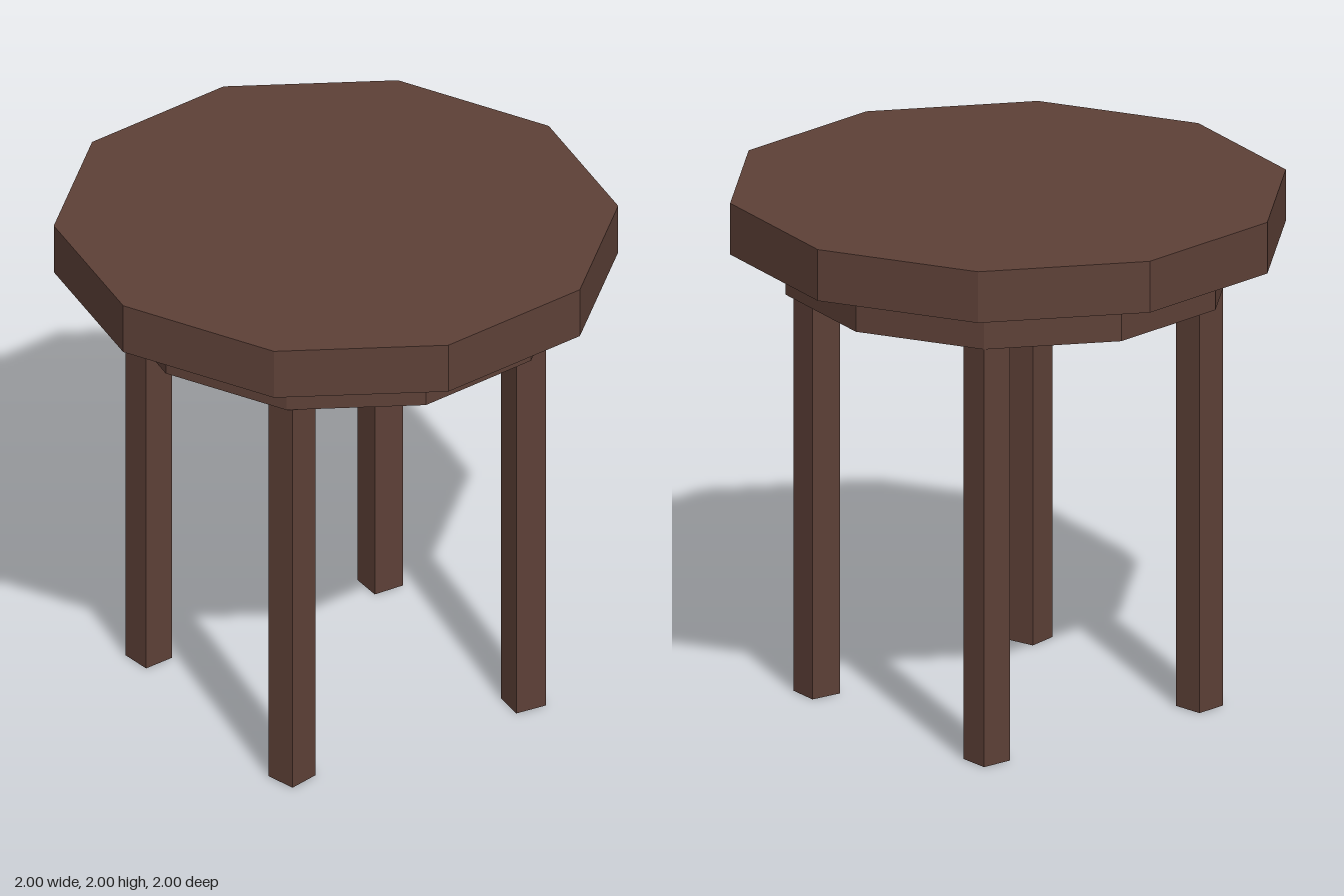
import * as THREE from 'three';

const SIDES = 10;
// widens a decagon so its flat sides reach as far in x as its corners do in z
const STRETCH = 1 / Math.cos(Math.PI / SIDES);

export function createModel() {
  const table = new THREE.Group();
  table.name = 'roundTable';
  const wood = new THREE.MeshStandardMaterial({ color: 0x5d4037, flatShading: true });
  wood.name = 'dark brown wood';

  function add(name, geometry, y) {
    const mesh = new THREE.Mesh(geometry, wood);
    mesh.name = name;
    mesh.position.y = y;
    table.add(mesh);
    return mesh;
  }

  // thick ten-sided top
  const top = new THREE.CylinderGeometry(1, 1, 0.2, SIDES);
  top.scale(STRETCH, 1, 1);
  add('tabletop', top, 1.9);

  // hollow ten-sided ring under the top
  const outer = 0.8, inner = 0.645, height = 0.17;
  const section = [[outer, 0], [outer, height], [inner, height], [inner, 0], [outer, 0]]
    .map(([r, y]) => new THREE.Vector2(r, y));
  const ring = new THREE.LatheGeometry(section, SIDES);
  ring.scale(STRETCH, 1, 1);
  add('apron', ring, 1.63);

  // four square legs set cornerwise, each turned by a slightly different angle
  const legs = [
    ['leftLeg', 0.712, 0, -4],
    ['rightLeg', -0.712, 0, 7],
    ['frontLeg', 0, 0.712, 15],
    ['backLeg', 0, -0.712, 0],
  ];
  const legGeometry = new THREE.BoxGeometry(0.123, 1.63, 0.123);
  for (const [name, x, z, turn] of legs) {
    const leg = add(name, legGeometry, 0.815);
    leg.position.x = x;
    leg.position.z = z;
    leg.rotation.y = THREE.MathUtils.degToRad(45 + turn);
  }
  return table;
}
